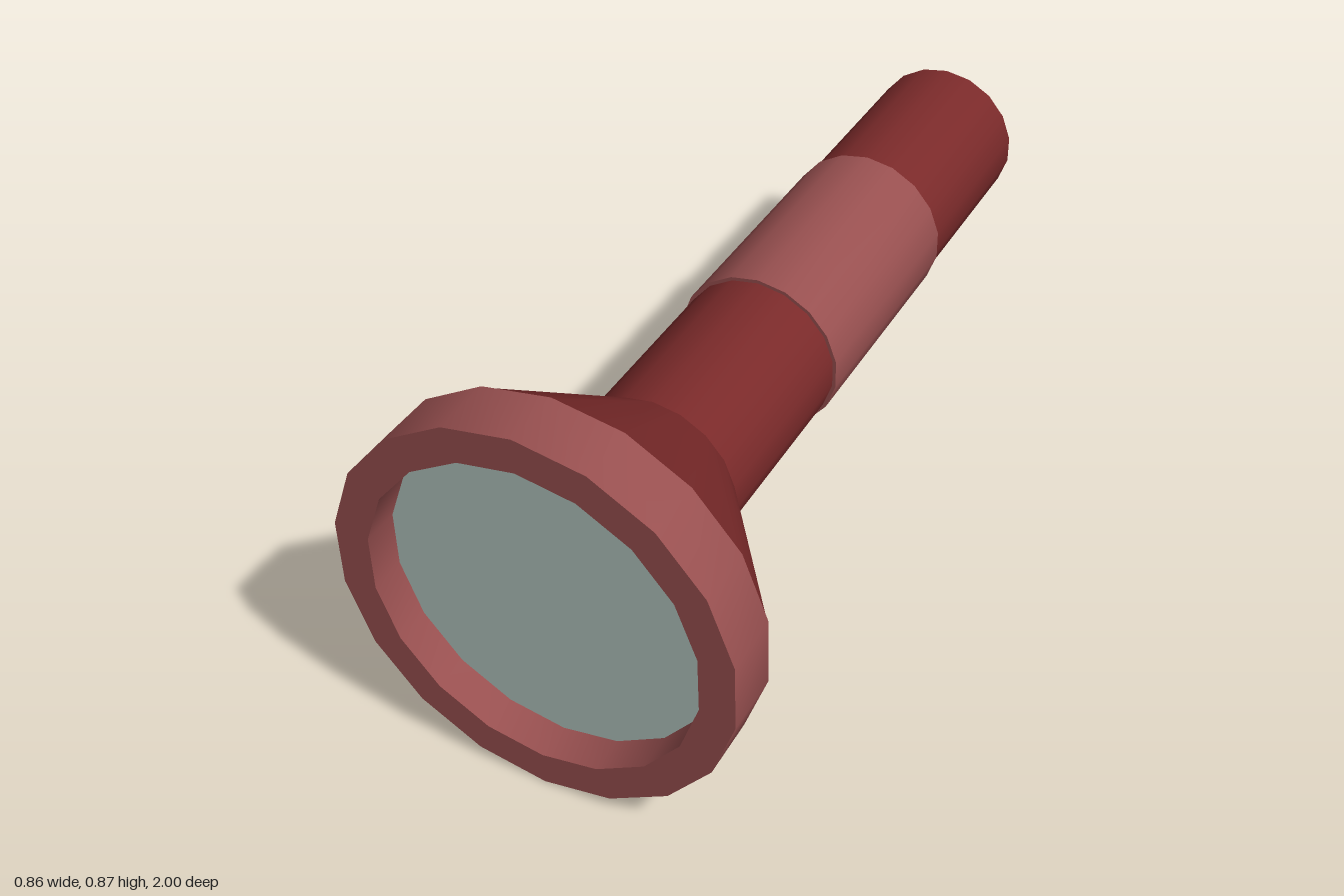
import * as THREE from 'three';
import { toCreasedNormals } from 'three/addons/utils/BufferGeometryUtils.js';

const SIDES = 18;
const AXIS_Y = 0.438;

// Turns a [radius, z] profile, listed back to front along the outside, around the z axis.
function turned(name, profile, color) {
  const points = profile.map(([r, z]) => new THREE.Vector2(r, z));
  const lathe = new THREE.LatheGeometry(points, SIDES).rotateX(Math.PI / 2);
  const mesh = new THREE.Mesh(
    toCreasedNormals(lathe, 0.5),
    new THREE.MeshStandardMaterial({ color })
  );
  mesh.name = name;
  mesh.position.y = AXIS_Y;
  return mesh;
}

export function createModel() {
  const group = new THREE.Group();
  group.name = 'flashlight';
  const darkRed = 0x7a2a2a, paleRed = 0x985050, glass = 0xb2c4be;

  // Handle tube flaring into the reflector cone
  group.add(turned('body', [
    [0, -1], [0.183, -1], [0.183, 0.52], [0.43, 0.862], [0.415, 0.87],
  ], darkRed));

  // Slightly raised sleeve around the handle
  group.add(turned('grip', [
    [0.18, -0.51], [0.191, -0.51], [0.191, 0.06], [0.18, 0.06],
  ], paleRed));

  // Front rim with a straight inner wall
  group.add(turned('headRing', [
    [0.361, 0.868], [0.437, 0.868], [0.437, 1], [0.361, 1], [0.361, 0.868],
  ], paleRed));

  // Recessed lens
  group.add(turned('lens', [[0.361, 0.92], [0, 0.92]], glass));

  return group;
}
